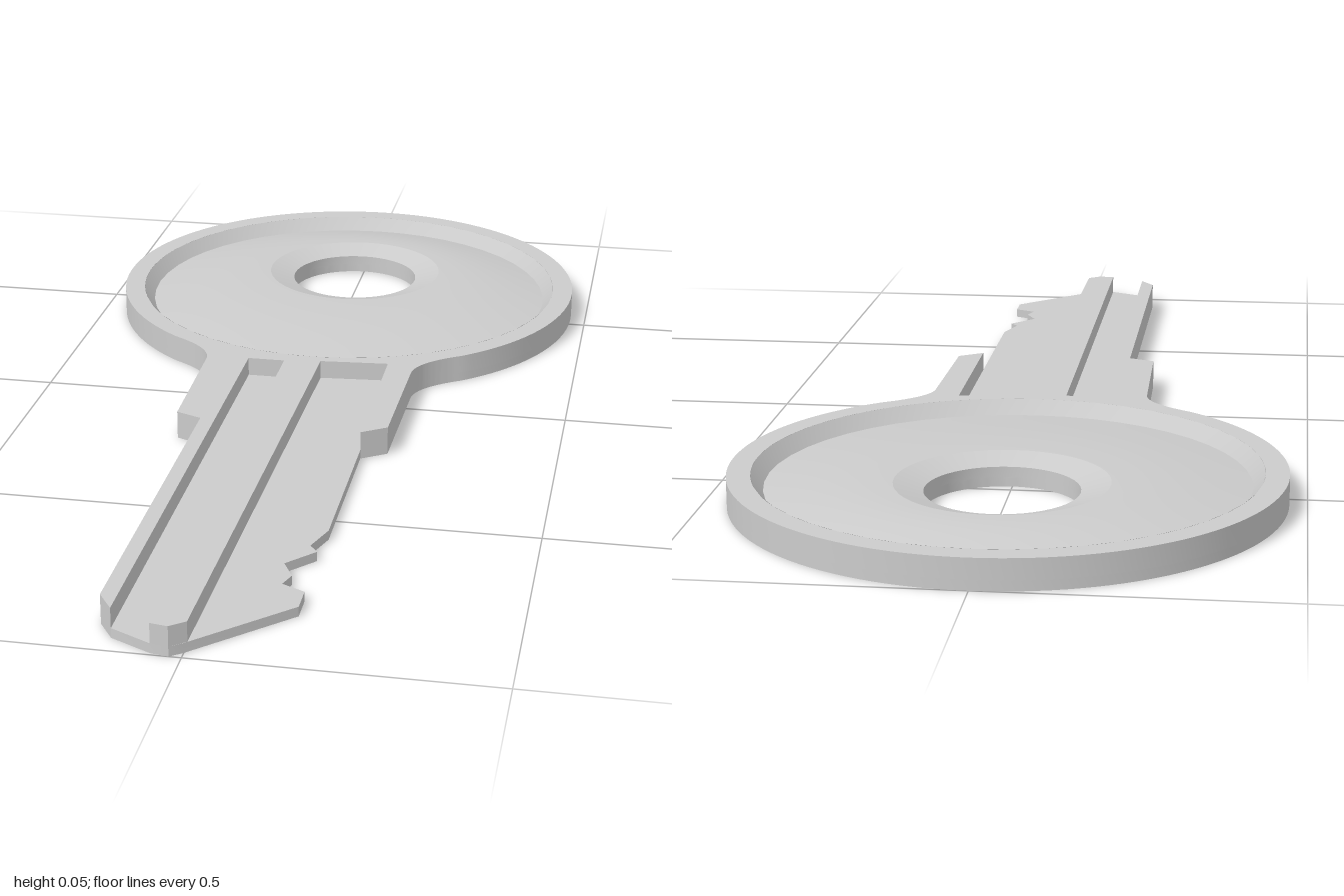
import * as THREE from 'three';
import { toCreasedNormals } from 'three/addons/utils/BufferGeometryUtils.js';

const HEAD = { z: -0.53, r: 0.47 };
const HOLE = { z: -0.61, r: 0.13, collar: 0.18 };
const RECESS = 0.43;
const STEP = 0.017, TOP = 0.052, SEG = 48;

const material = new THREE.MeshStandardMaterial({ color: 0xcccccc, side: THREE.DoubleSide });

// Bow circle with filleted neck, closed by the given blade points (x, z), listed from +x round to -x
function keyOutline(blade) {
  const s = new THREE.Shape();
  const a = 0.92; // angle below the horizontal where the bow meets the neck
  const x = HEAD.r * Math.cos(a), z = HEAD.z + HEAD.r * Math.sin(a);
  s.absarc(0, -HEAD.z, HEAD.r, -a, Math.PI + a, false);
  s.quadraticCurveTo(-0.2, -(z + 0.05), -0.2, 0.05);
  for (const [px, pz] of [...blade].reverse()) s.lineTo(px, -pz);
  s.lineTo(0.2, 0.05);
  s.quadraticCurveTo(0.2, -(z + 0.05), x, -z);
  return s;
}

function circleHole(z, r) {
  return new THREE.Path().absarc(0, -z, r, 0, Math.PI * 2, true);
}

// Flat layer lying between heights y0 and y1
function layer(name, shape, y0, y1) {
  let g = new THREE.ExtrudeGeometry(shape, { depth: y1 - y0, bevelEnabled: false, curveSegments: SEG });
  g.rotateX(-Math.PI / 2);
  g.translate(0, y0, 0);
  g = toCreasedNormals(g, 0.5);
  const m = new THREE.Mesh(g, material);
  m.name = name;
  return m;
}

// Surface through horizontal circles [centre z, radius, y], outermost first
function loft(name, rings) {
  const pos = [], idx = [];
  rings.forEach(([cz, r, y], j) => {
    for (let i = 0; i <= SEG; i++) {
      const t = (i / SEG) * Math.PI * 2;
      pos.push(r * Math.cos(t), y, cz + r * Math.sin(t));
      if (j && i < SEG) {
        const b = j * (SEG + 1) + i, a = b - SEG - 1;
        idx.push(a, b, a + 1, a + 1, b, b + 1);
      }
    }
  });
  const g = new THREE.BufferGeometry();
  g.setAttribute('position', new THREE.Float32BufferAttribute(pos, 3));
  g.setIndex(idx);
  const m = new THREE.Mesh(toCreasedNormals(g, 0.5), material);
  m.name = name;
  return m;
}

export function createModel() {
  const key = new THREE.Group();
  key.name = 'key';

  // Thin lower plate: full silhouette with the toothed edge
  const base = keyOutline([
    [0.195, 0.21], [0.15, 0.24], [0.15, 0.57], [0.13, 0.63], [0.145, 0.65], [0.1, 0.7],
    [0.12, 0.74], [0.11, 0.77], [0.15, 0.79], [0.15, 0.84], [0, 0.985], [-0.02, 1],
    [-0.05, 0.995], [-0.12, 0.96], [-0.147, 0.92], [-0.147, 0.23], [-0.195, 0.21],
  ]);
  base.holes.push(circleHole(HOLE.z, HOLE.r));
  key.add(layer('basePlate', base, 0, STEP));

  // Raised layer: rim, shoulders, centre ridge and side rail, leaving the blade channels low
  const raised = keyOutline([
    [0.195, 0.21], [0.15, 0.24], [0.15, -0.09], [0.02, -0.08], [0.005, 0.98], [-0.02, 1],
    [-0.05, 0.995], [-0.05, -0.07], [-0.12, -0.07], [-0.12, 0.96], [-0.147, 0.92],
    [-0.147, 0.23], [-0.195, 0.21],
  ]);
  raised.holes.push(circleHole(HEAD.z, RECESS));
  key.add(layer('rimAndRidges', raised, STEP, TOP));

  // Domed bow face rising from the recess to the collar
  const low = 0.026, inner = RECESS - 0.02, dome = [[HEAD.z, RECESS, TOP], [HEAD.z, inner, low]];
  for (let i = 1; i <= 8; i++) {
    const t = i / 8;
    dome.push([
      THREE.MathUtils.lerp(HEAD.z, HOLE.z, t),
      THREE.MathUtils.lerp(inner, HOLE.collar, t),
      low + (0.05 - low) * Math.sin(t * Math.PI / 2),
    ]);
  }
  key.add(loft('bowFace', dome));

  // Countersunk collar and wall of the ring hole
  key.add(loft('holeCollar', [
    [HOLE.z, HOLE.collar, 0.05], [HOLE.z, HOLE.r, 0.035], [HOLE.z, HOLE.r, STEP],
  ]));
  return key;
}
